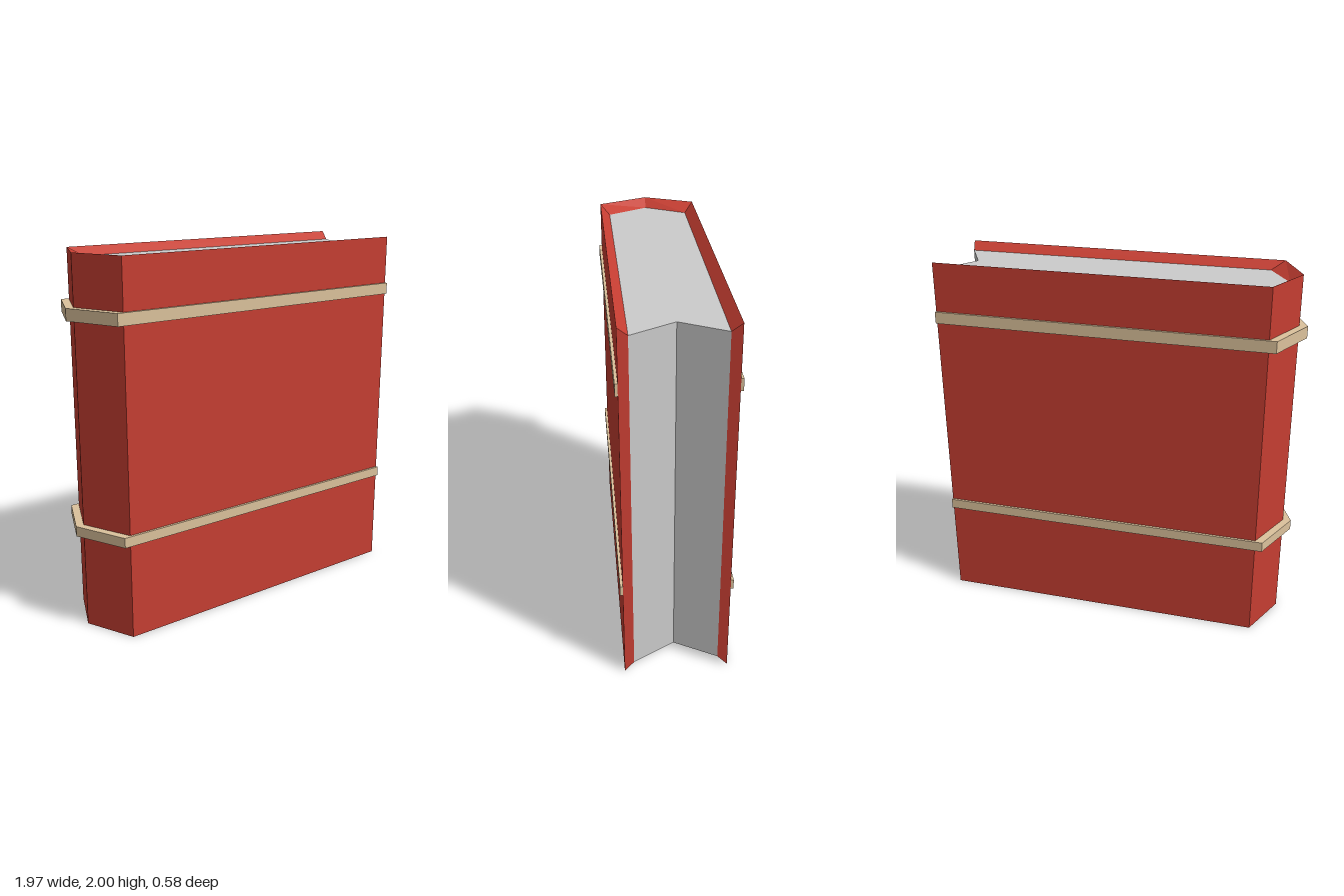
import * as THREE from 'three';

// Plan outline [x, z] from the front fore-edge round the pointed spine to the back fore-edge
const outline = (edge, corner, spine, half) => [
  [edge, half], [corner, half], [spine, 0], [corner, -half], [edge, -half],
];

const COVER = outline(0.98, -0.82, -0.94, 0.275);
const BLOCK = outline(0.965, -0.75, -0.875, 0.224);
const BAND = outline(0.982, -0.86, -0.984, 0.289);
const PAGE_LOW = 0.045, PAGE_HIGH = 1.955;

// Wrap-around shell: a four-cornered section swept along the outline, with closed ends
function wrap(outer, inner, [outLow, outHigh], [inLow, inHigh]) {
  const sections = outer.map(([x, z], i) => {
    const [u, w] = inner[i];
    return [[x, outLow, z], [x, outHigh, z], [u, inHigh, w], [u, inLow, w]];
  });
  const positions = [];
  const quad = (a, b, c, d) => positions.push(...a, ...b, ...c, ...a, ...c, ...d);
  for (let i = 0; i < sections.length - 1; i++) {
    const s = sections[i], t = sections[i + 1];
    for (let k = 0; k < 4; k++) {
      const n = (k + 1) % 4;
      quad(s[k], s[n], t[n], t[k]);
    }
  }
  quad(...[...sections[0]].reverse());
  quad(...sections[sections.length - 1]);
  const geometry = new THREE.BufferGeometry();
  geometry.setAttribute('position', new THREE.Float32BufferAttribute(positions, 3));
  geometry.computeVertexNormals();
  return geometry;
}

export function createModel() {
  const model = new THREE.Group();
  model.name = 'book';
  const red = new THREE.MeshStandardMaterial({ color: 0xc63e32, flatShading: true });
  const tan = new THREE.MeshStandardMaterial({ color: 0xdcc29c, flatShading: true });
  const grey = new THREE.MeshStandardMaterial({ color: 0xcccccc, flatShading: true });

  const add = (name, geometry, material) => {
    const mesh = new THREE.Mesh(geometry, material);
    mesh.name = name;
    model.add(mesh);
  };

  // Cover with a rim sloping in to the pages
  add('cover', wrap(COVER, BLOCK, [0, 2], [PAGE_LOW, PAGE_HIGH]), red);

  // Page block with a V-shaped hollow in the fore-edge
  const plan = new THREE.Shape([...BLOCK, [0.84, 0]].map(([x, z]) => new THREE.Vector2(x, z)));
  const pages = new THREE.ExtrudeGeometry(plan, { depth: PAGE_HIGH - PAGE_LOW, bevelEnabled: false });
  pages.rotateX(Math.PI / 2).translate(0, PAGE_HIGH, 0);
  add('pages', pages, grey);

  // Two raised bands running round the spine and across both boards
  const bands = { lowerBand: [0.525, 0.58], upperBand: [1.668, 1.732] };
  for (const [name, span] of Object.entries(bands)) {
    add(name, wrap(BAND, COVER, span, span), tan);
  }

  return model;
}
